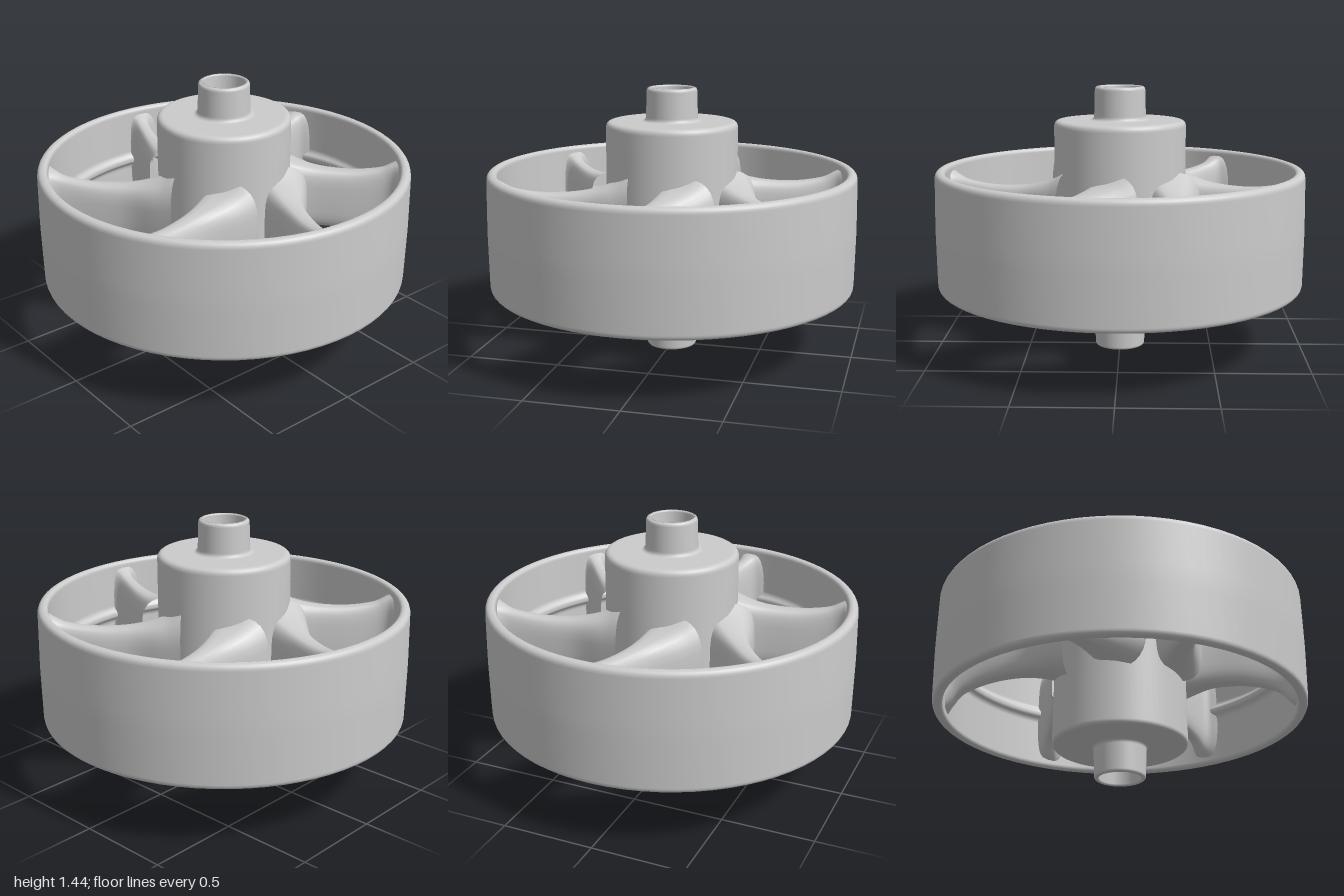
import * as THREE from 'three';

const material = new THREE.MeshStandardMaterial({ color: 0xcccccc });

// Closed lathe body from [radius, height, cornerRadius] corners, outside listed upwards
function roundedLathe(name, corners, segments = 72) {
  const v = corners.map(c => new THREE.Vector2(c[0], c[1]));
  const n = v.length;
  const pts = [];
  for (let i = 0; i < n; i++) {
    const p = v[i], before = v[(i + n - 1) % n], after = v[(i + 1) % n];
    const r = corners[i][2];
    const a = p.clone().add(before.clone().sub(p).setLength(r));
    const b = p.clone().add(after.clone().sub(p).setLength(r));
    pts.push(...new THREE.QuadraticBezierCurve(a, p, b).getPoints(6));
  }
  pts.push(pts[0].clone());
  const mesh = new THREE.Mesh(new THREE.LatheGeometry(pts, segments), material);
  mesh.name = name;
  return mesh;
}

// Blade stations: [position, left half-width, right half-width, bottom, top]
const STATIONS = [
  [0.00, 0.21, 0.13, 0.50, 1.00],
  [0.14, 0.16, 0.10, 0.53, 0.95],
  [0.36, 0.085, 0.07, 0.56, 0.91],
  [0.62, 0.06, 0.06, 0.55, 0.90],
  [0.84, 0.052, 0.052, 0.50, 0.92],
  [0.94, 0.065, 0.065, 0.43, 0.95],
  [1.00, 0.11, 0.11, 0.39, 0.97],
];

// Swept blade: rounded cross-sections from the hub to the rim
function spokeGeometry() {
  const curve = f => new THREE.CatmullRomCurve3(STATIONS.map(f), false, 'catmullrom', 0.5);
  const widths = curve(s => new THREE.Vector3(s[0], s[1], s[2]));
  const heights = curve(s => new THREE.Vector3(s[0], s[3], s[4]));
  const start = new THREE.Vector2(0.25, -0.14), end = new THREE.Vector2(0.955, 0.01);
  const dir = end.clone().sub(start).normalize();
  const rows = 30, sides = 28;
  const soft = x => Math.sign(x) * Math.pow(Math.abs(x), 0.6);
  const positions = [], index = [];
  for (let i = 0; i <= rows; i++) {
    const w = widths.getPoint(i / rows), h = heights.getPoint(i / rows);
    const p = start.clone().lerp(end, w.x);
    for (let j = 0; j < sides; j++) {
      const a = (j / sides) * Math.PI * 2;
      const c = soft(Math.cos(a));
      const off = c * (c > 0 ? w.y : w.z);
      const y = (h.y + h.z) / 2 + soft(Math.sin(a)) * (h.z - h.y) / 2;
      positions.push(p.x + dir.y * off, y, p.y - dir.x * off);
      if (i < rows) {
        const k = i * sides + j, next = i * sides + (j + 1) % sides;
        index.push(k, next, k + sides, next, next + sides, k + sides);
      }
    }
  }
  const g = new THREE.BufferGeometry();
  g.setAttribute('position', new THREE.Float32BufferAttribute(positions, 3));
  g.setIndex(index);
  g.computeVertexNormals();
  return g;
}

export function createModel() {
  const model = new THREE.Group();
  model.name = 'spokedWheel';

  // Rim band with a shallow inner ridge at mid height
  model.add(roundedLathe('rim', [
    [0.995, 0.36, 0.03], [1.0, 0.68, 0.05], [0.995, 1.0, 0.035],
    [0.94, 1.0, 0.025], [0.94, 0.72, 0.02], [0.917, 0.70, 0.012],
    [0.917, 0.67, 0.012], [0.94, 0.65, 0.02], [0.94, 0.36, 0.025],
  ]));

  // Hub with an axle sleeve at both ends and an open bore
  model.add(roundedLathe('hub', [
    [0.135, 0.005, 0.015], [0.14, 0.18, 0.02], [0.36, 0.18, 0.025],
    [0.355, 0.70, 0.05], [0.355, 1.26, 0.035], [0.14, 1.26, 0.025],
    [0.135, 1.44, 0.02], [0.112, 1.44, 0.01], [0.104, 1.30, 0.02],
    [0.084, 1.27, 0.01], [0.084, 0.17, 0.01], [0.104, 0.14, 0.02],
    [0.112, 0.005, 0.01],
  ], 64));

  // Six swept spokes
  const blade = spokeGeometry();
  for (let i = 0; i < 6; i++) {
    const spoke = new THREE.Mesh(blade, material);
    spoke.name = 'spoke' + (i + 1);
    spoke.rotation.y = THREE.MathUtils.degToRad(-6 + i * 60);
    model.add(spoke);
  }
  return model;
}
